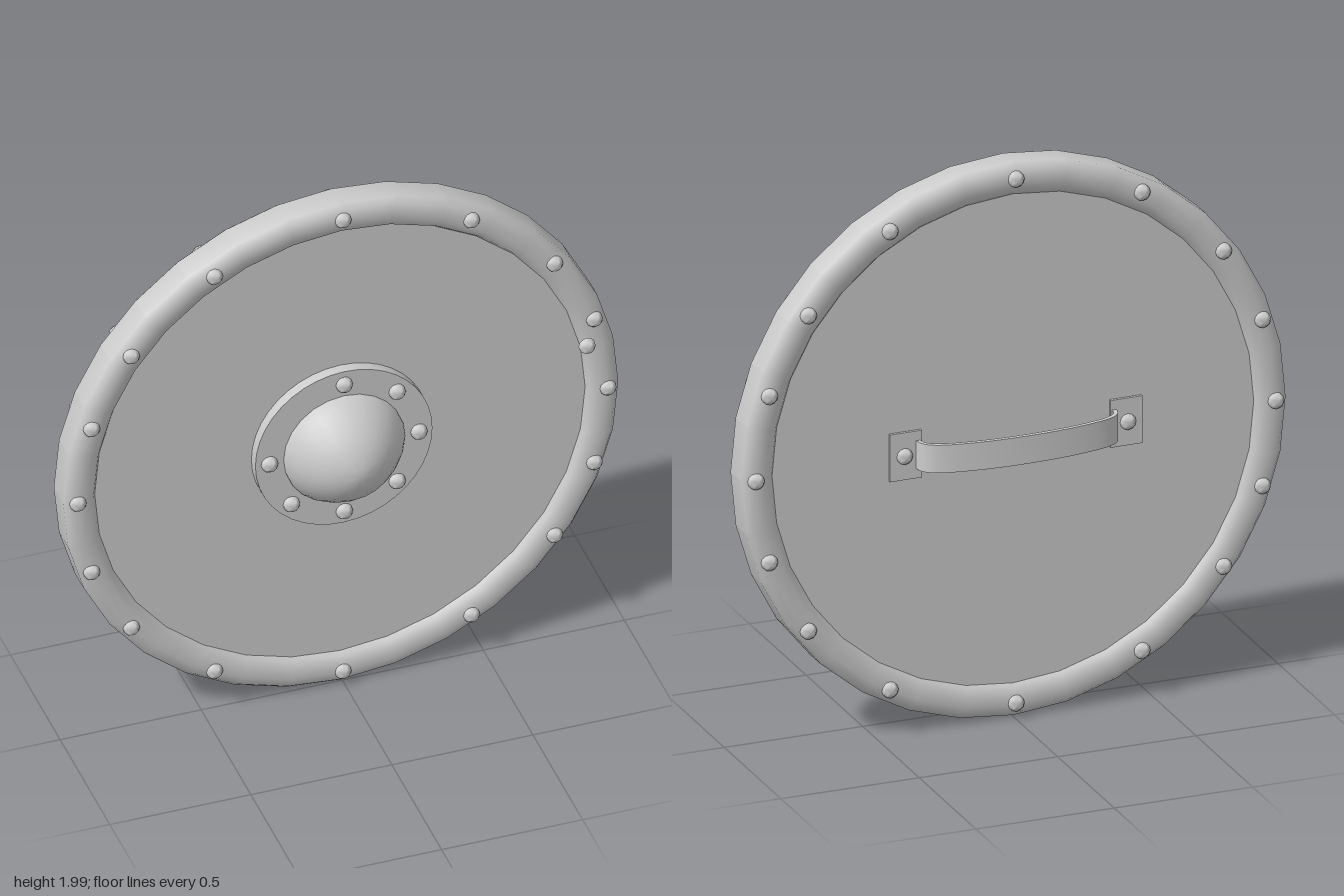
import * as THREE from 'three';
import { toCreasedNormals } from 'three/addons/utils/BufferGeometryUtils.js';

const steel = new THREE.MeshStandardMaterial({ color: 0xcccccc });
steel.name = 'steel grey';

// Profile of [radius, z] pairs turned about the z axis
function turned(name, profile, sides, crease = 0.7) {
  const pts = profile.map(([r, z]) => new THREE.Vector2(r, z));
  const geo = new THREE.LatheGeometry(pts, sides).rotateX(Math.PI / 2);
  const mesh = new THREE.Mesh(toCreasedNormals(geo, crease), steel);
  mesh.name = name;
  return mesh;
}

// Domed rivet head; side is 1 for the front and -1 for the back
function rivet(name, x, y, z, side = 1) {
  const mesh = turned(name, [[0, -0.004], [0.029, -0.004], [0.028, 0.008], [0.019, 0.02], [0, 0.025]], 12, 1);
  mesh.position.set(x, y, z);
  if (side < 0) mesh.rotation.y = Math.PI;
  return mesh;
}

export function createModel() {
  const model = new THREE.Group();
  model.name = 'roundShield';
  const shield = new THREE.Group();
  shield.name = 'shield';
  shield.position.set(-0.004, 1.003, 0);
  shield.rotation.y = 0.011;
  model.add(shield);

  // Rounded metal rim
  const rim = turned('rim', [
    [0.875, -0.085], [0.89, -0.105], [0.915, -0.117], [0.95, -0.12], [0.98, -0.113], [0.995, -0.095],
    [0.995, -0.005], [0.98, 0.013], [0.95, 0.02], [0.915, 0.017], [0.89, 0.005], [0.875, -0.018],
  ], 32);
  rim.scale.x = 0.993;
  shield.add(rim);

  // Flat board inside the rim
  shield.add(turned('board', [[0, -0.092], [0.9, -0.092], [0.9, -0.012], [0, -0.012]], 32));

  // Central boss: flange and pointed dome
  shield.add(turned('bossFlange', [[0.315, -0.03], [0.315, 0.027], [0.19, 0.027]], 40));
  shield.add(turned('bossDome', [
    [0.215, 0.015], [0.214, 0.04], [0.198, 0.068], [0.175, 0.1], [0.145, 0.135],
    [0.11, 0.164], [0.07, 0.187], [0.03, 0.2], [0, 0.203],
  ], 24, 1));

  // Rim rivets on both faces
  for (const deg of [0, 18.5, 37, 61, 90]) {
    const a = THREE.MathUtils.degToRad(deg);
    const x = 0.943 * Math.cos(a), y = 0.943 * Math.sin(a);
    for (const sx of deg === 90 ? [1] : [1, -1]) {
      for (const sy of deg === 0 ? [1] : [1, -1]) {
        shield.add(rivet('rimRivetFront', sx * x, sy * y, 0.017));
        shield.add(rivet('rimRivetBack', sx * x, sy * y, -0.118, -1));
      }
    }
  }

  // Flange rivets, with the upper one on the right side set loose near the rim
  for (let i = 0; i < 8; i++) {
    if (i === 3) continue;
    const a = i * Math.PI / 4;
    shield.add(rivet('flangeRivet', 0.266 * Math.cos(a), 0.264 * Math.sin(a), 0.032));
  }
  shield.add(rivet('looseRivet', 0.825, 0.29, 0.138));

  // Handle strap: bowed band extruded along y
  const curve = new THREE.CatmullRomCurve3([
    [-0.365, 0.09], [-0.355, 0.135], [-0.32, 0.165], [-0.2, 0.194],
    [0, 0.207], [0.2, 0.194], [0.32, 0.165], [0.355, 0.135], [0.365, 0.09],
  ].map(([x, d]) => new THREE.Vector3(x, d, 0)));
  const path = curve.getPoints(32);
  const inner = path.map((p, i) => {
    const t = curve.getTangent(i / 32);
    return new THREE.Vector2(p.x + t.y * 0.015, p.y - t.x * 0.015);
  });
  const band = new THREE.Shape([...path.map(p => new THREE.Vector2(p.x, p.y)), ...inner.reverse()]);
  const bandGeo = new THREE.ExtrudeGeometry(band, { depth: 0.1, bevelEnabled: false });
  bandGeo.translate(0, 0, -0.05).rotateX(-Math.PI / 2);
  const strap = new THREE.Mesh(toCreasedNormals(bandGeo, 0.6), steel);
  strap.name = 'handleStrap';
  strap.position.x = -0.008;
  shield.add(strap);

  // Mounting plates and their rivets
  for (const s of [1, -1]) {
    const plate = new THREE.Mesh(new THREE.BoxGeometry(0.115, 0.17, 0.014), steel);
    plate.name = s > 0 ? 'handlePlateLeft' : 'handlePlateRight';
    plate.position.set(s * 0.4 - 0.008, 0, -0.095);
    shield.add(plate);
    shield.add(rivet('handleRivet', s * 0.405 - 0.008, 0, -0.1, -1));
  }
  return model;
}
